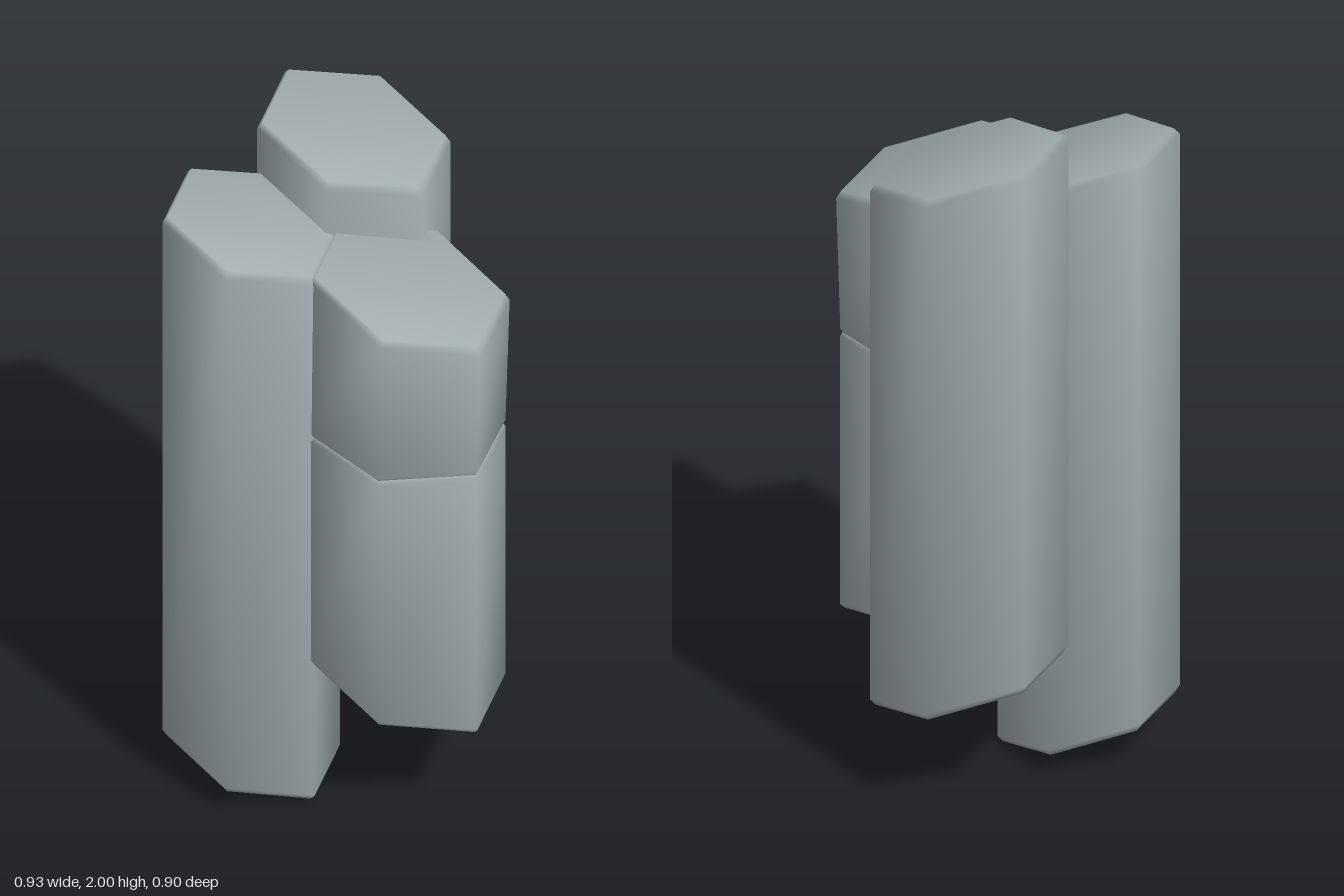
import * as THREE from 'three';

const SIDES = 6;

// Hexagonal prism with slanted, bevelled ends and softly shaded edges.
// Each end: { x, z, r, y, sx, sz } = centre, radius, height and slope of its plane.
function hexPrism(bottom, top, bevel = 0.015) {
  const positions = [], normals = [], index = [];
  const rings = [
    { end: bottom, sign: -1, inset: true },
    { end: bottom, sign: -1, inset: false },
    { end: top, sign: 1, inset: false },
    { end: top, sign: 1, inset: true },
  ];
  for (const { end, sign, inset } of rings) {
    const r = inset ? end.r - bevel : end.r;
    for (let i = 0; i < SIDES; i++) {
      const a = (i / SIDES) * Math.PI * 2;
      const c = Math.cos(a), s = Math.sin(a);
      const y = end.y + end.sx * r * c + end.sz * r * s - (inset ? 0 : sign * bevel * 1.4);
      positions.push(end.x + r * c, y, end.z + r * s);
      // cap normal leans outward at the rim; side normal leans slightly to the cap
      const n = new THREE.Vector3(-end.sx, 1, -end.sz).normalize().multiplyScalar(sign);
      const radial = new THREE.Vector3(c, 0, s);
      if (inset) n.addScaledVector(radial, 0.3);
      else n.multiplyScalar(0.2).add(radial);
      n.normalize();
      normals.push(n.x, n.y, n.z);
    }
  }
  // walls and bevels
  for (let k = 0; k < rings.length - 1; k++) {
    for (let i = 0; i < SIDES; i++) {
      const j = (i + 1) % SIDES;
      const a = k * SIDES + i, b = k * SIDES + j;
      const d = a + SIDES, e = b + SIDES;
      index.push(a, d, b, b, d, e);
    }
  }
  // end caps
  const t = 3 * SIDES;
  for (let i = 1; i < SIDES - 1; i++) {
    index.push(0, i, i + 1);
    index.push(t, t + i + 1, t + i);
  }
  const geometry = new THREE.BufferGeometry();
  geometry.setAttribute('position', new THREE.Float32BufferAttribute(positions, 3));
  geometry.setAttribute('normal', new THREE.Float32BufferAttribute(normals, 3));
  geometry.setIndex(index);
  return geometry;
}

export function createModel() {
  const group = new THREE.Group();
  group.name = 'hexagonalRockColumns';
  const stone = new THREE.MeshStandardMaterial({ color: 0xa0abae });
  stone.name = 'blue grey stone';

  const add = (name, bottom, top, bevel) => {
    const mesh = new THREE.Mesh(hexPrism(bottom, top, bevel), stone);
    mesh.name = name;
    group.add(mesh);
  };
  const end = (x, z, r, y, sx, sz) => ({ x, z, r, y, sx, sz });

  // whole columns
  add('shortSideColumn',
    end(-0.215, -0.002, 0.25, 0.064, -0.28, -0.15),
    end(-0.215, -0.002, 0.25, 1.827, -0.26, -0.14));
  add('tallBackColumn',
    end(0.127, -0.217, 0.272, 0.315, -0.28, -0.15),
    end(0.127, -0.217, 0.272, 1.933, -0.26, -0.14));

  // front column, cracked across into two blocks
  add('frontColumnLower',
    end(0.172, 0.202, 0.279, 0.392, -0.27, -0.15),
    end(0.172, 0.202, 0.279, 1.208, -0.1, 0), 0.01);
  add('frontColumnUpper',
    end(0.172, 0.2, 0.279, 1.196, -0.1, 0),
    end(0.181, 0.203, 0.281, 1.692, -0.28, -0.15), 0.014);

  return group;
}
